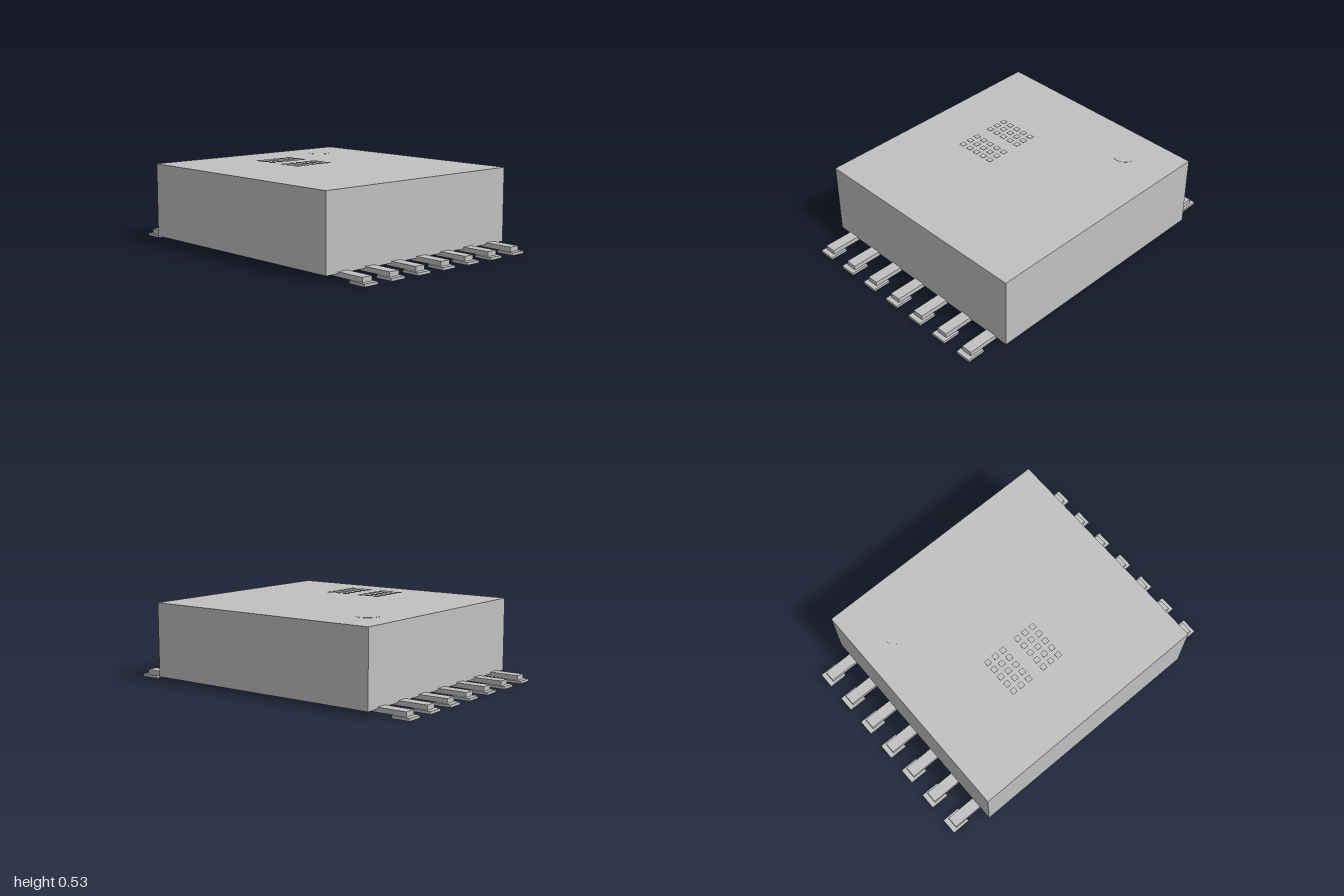
import * as THREE from 'three';

export function createModel() {
  const model = new THREE.Group();
  model.name = 'chipPackage';
  const grey = new THREE.MeshStandardMaterial({ color: 0xc0c0c0 });
  grey.name = 'light grey';

  // Box given by its size and centre
  const box = (name, w, h, d, x, y, z, parent = model) => {
    const mesh = new THREE.Mesh(new THREE.BoxGeometry(w, h, d), grey);
    mesh.name = name;
    mesh.position.set(x, y, z);
    parent.add(mesh);
    return mesh;
  };

  // Package body
  box('body', 1.564, 0.457, 1.46, 0, 0.2625, 0);

  // Round orientation mark, almost flush with the top
  const mark = new THREE.Mesh(new THREE.CylinderGeometry(0.071, 0.071, 0.004, 32), grey);
  mark.name = 'orientationMark';
  mark.position.set(-0.55, 0.49, -0.415);
  model.add(mark);

  // Seven leads with solder pads on each side
  for (const side of [-1, 1]) {
    for (let i = -3; i <= 3; i++) {
      const pin = new THREE.Group();
      pin.name = side > 0 ? 'leftPin' : 'rightPin';
      pin.position.z = i * 0.203;
      box('lead', 0.225, 0.029, 0.07, side * 0.8575, 0.0305, 0, pin);
      box('pad', 0.115, 0.016, 0.1, side * 0.9425, 0.008, 0, pin);
      model.add(pin);
    }
  }

  // Two plain grids of small raised tiles
  for (const startX of [-0.25, -0.02]) {
    const tiles = new THREE.Group();
    tiles.name = 'tileGrid';
    for (let row = 0; row < 5; row++) {
      for (let col = 0; col < 3; col++) {
        box('tile', 0.034, 0.003, 0.034, startX + col * 0.058, 0.525, 0.1 + row * 0.058, tiles);
      }
    }
    model.add(tiles);
  }

  return model;
}
